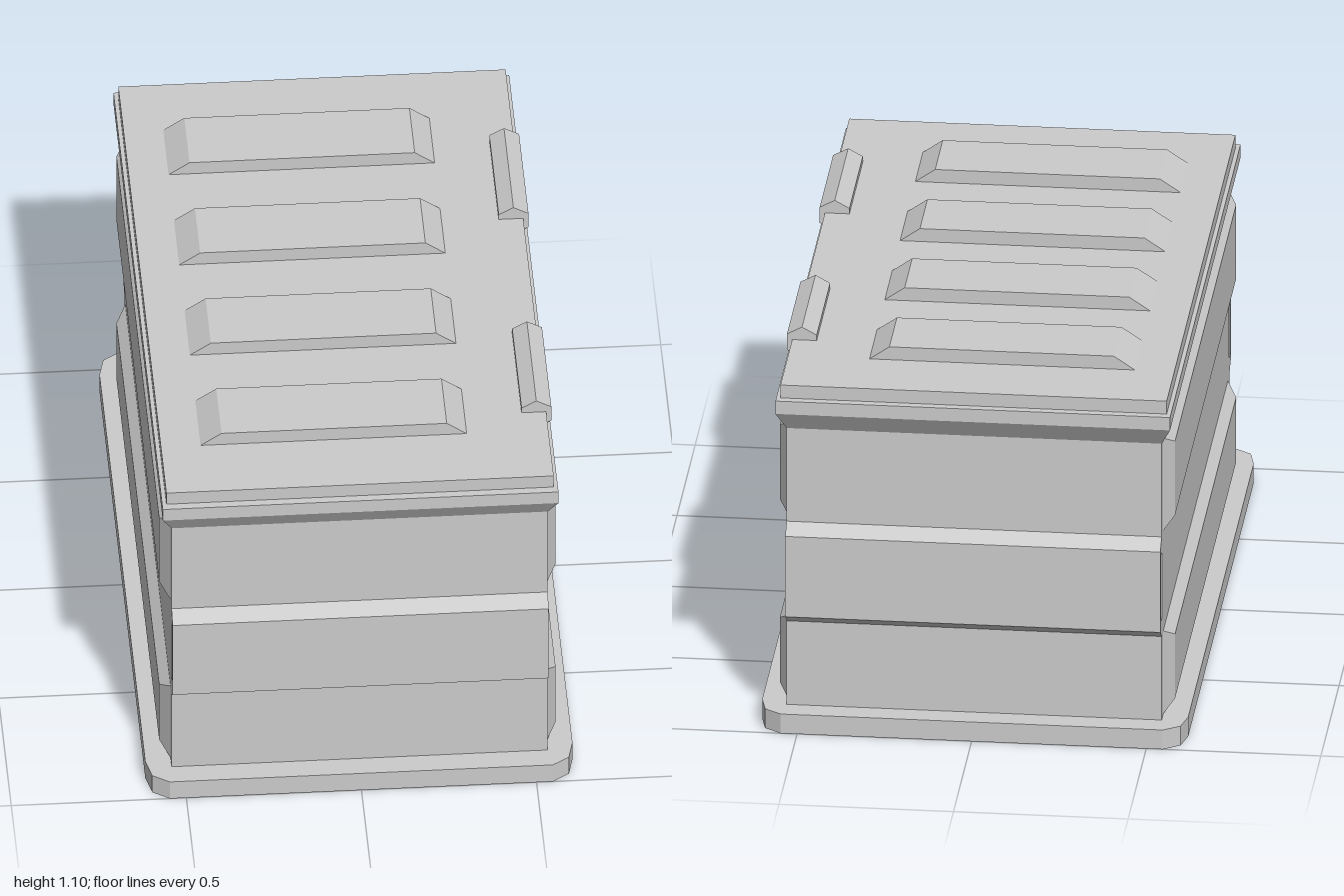
import * as THREE from 'three';

const material = new THREE.MeshStandardMaterial({ color: 0xcccccc, flatShading: true });

function add(group, name, geometry, x = 0, y = 0, z = 0) {
  const mesh = new THREE.Mesh(geometry, material);
  mesh.name = name;
  mesh.position.set(x, y, z);
  group.add(mesh);
  return mesh;
}

// Box standing on y = 0 whose top face has its own size
function taperedBox(w, d, h, topW = w, topD = d) {
  const geometry = new THREE.BoxGeometry(w, h, d).translate(0, h / 2, 0);
  const p = geometry.attributes.position;
  for (let i = 0; i < p.count; i++) {
    if (p.getY(i) > h / 2) {
      p.setX(i, Math.sign(p.getX(i)) * topW / 2);
      p.setZ(i, Math.sign(p.getZ(i)) * topD / 2);
    }
  }
  geometry.computeVertexNormals();
  return geometry;
}

const toShape = (points) => new THREE.Shape(points.map(([x, y]) => new THREE.Vector2(x, y)));

// Shape extruded symmetrically about z = 0
const extrude = (shape, depth) =>
  new THREE.ExtrudeGeometry(shape, { depth, bevelEnabled: false }).translate(0, 0, -depth / 2);

export function createModel() {
  const crate = new THREE.Group();
  crate.name = 'crate';

  // Base plate with faceted corners
  const corner = [[0.61, 0.9], [0.595, 0.967], [0.547, 1]];
  const flip = [...corner].reverse();
  const outline = [
    ...corner,
    ...flip.map(([x, z]) => [-x, z]),
    ...corner.map(([x, z]) => [-x, -z]),
    ...flip.map(([x, z]) => [x, -z]),
  ];
  add(crate, 'basePlate', extrude(toShape(outline), 0.06).rotateX(-Math.PI / 2), 0, 0.03, 0);

  // Body: side profile with a raised band and a through slot at each end
  const edge = [[0.93, 0.06], [0.93, 0.32], [0.97, 0.35], [0.97, 0.6], [0.93, 0.63], [0.93, 0.92]];
  const profile = toShape([...edge, ...[...edge].reverse().map(([z, y]) => [-z, y])]);
  for (const s of [-1, 1]) {
    profile.holes.push(new THREE.Path([
      [0.917, 0.375], [0.95, 0.375], [0.95, 0.58], [0.917, 0.58],
    ].map(([z, y]) => new THREE.Vector2(s * z, y))));
  }
  add(crate, 'body', extrude(profile, 1.074).rotateY(-Math.PI / 2));

  // Raised panels on the long sides
  for (const [y, h] of [[0.06, 0.26], [0.63, 0.29]]) {
    for (const s of [-1, 1]) {
      const panel = taperedBox(h, 1.78, 0.03, h - 0.06, 1.68).rotateZ(-s * Math.PI / 2);
      add(crate, 'sidePanel', panel, s * 0.536, y + h / 2, 0);
    }
  }

  // Flared rim and lid
  add(crate, 'rimFlare', taperedBox(1.074, 1.86, 0.06, 1.13, 1.94), 0, 0.92, 0);
  add(crate, 'rim', taperedBox(1.13, 1.94, 0.04), 0, 0.98, 0);
  add(crate, 'lid', taperedBox(1.106, 1.892, 0.04), 0, 1.02, 0);

  // Lid ribs with sloping ends
  const rib = extrude(toShape([[-0.44, 1.06], [0.32, 1.06], [0.263, 1.1], [-0.38, 1.1]]), 0.208);
  for (const z of [-0.632, -0.212, 0.208, 0.628]) add(crate, 'lidRib', rib, 0, 0, z);

  // Hinges wrapped over one edge of the lid
  const hinge = extrude(toShape([
    [0.483, 1.05], [0.55, 1.018], [0.568, 1.028], [0.568, 1.077], [0.525, 1.1], [0.483, 1.077],
  ]), 0.37);
  for (const z of [-0.438, 0.462]) add(crate, 'hinge', hinge, 0, 0, z);

  return crate;
}
